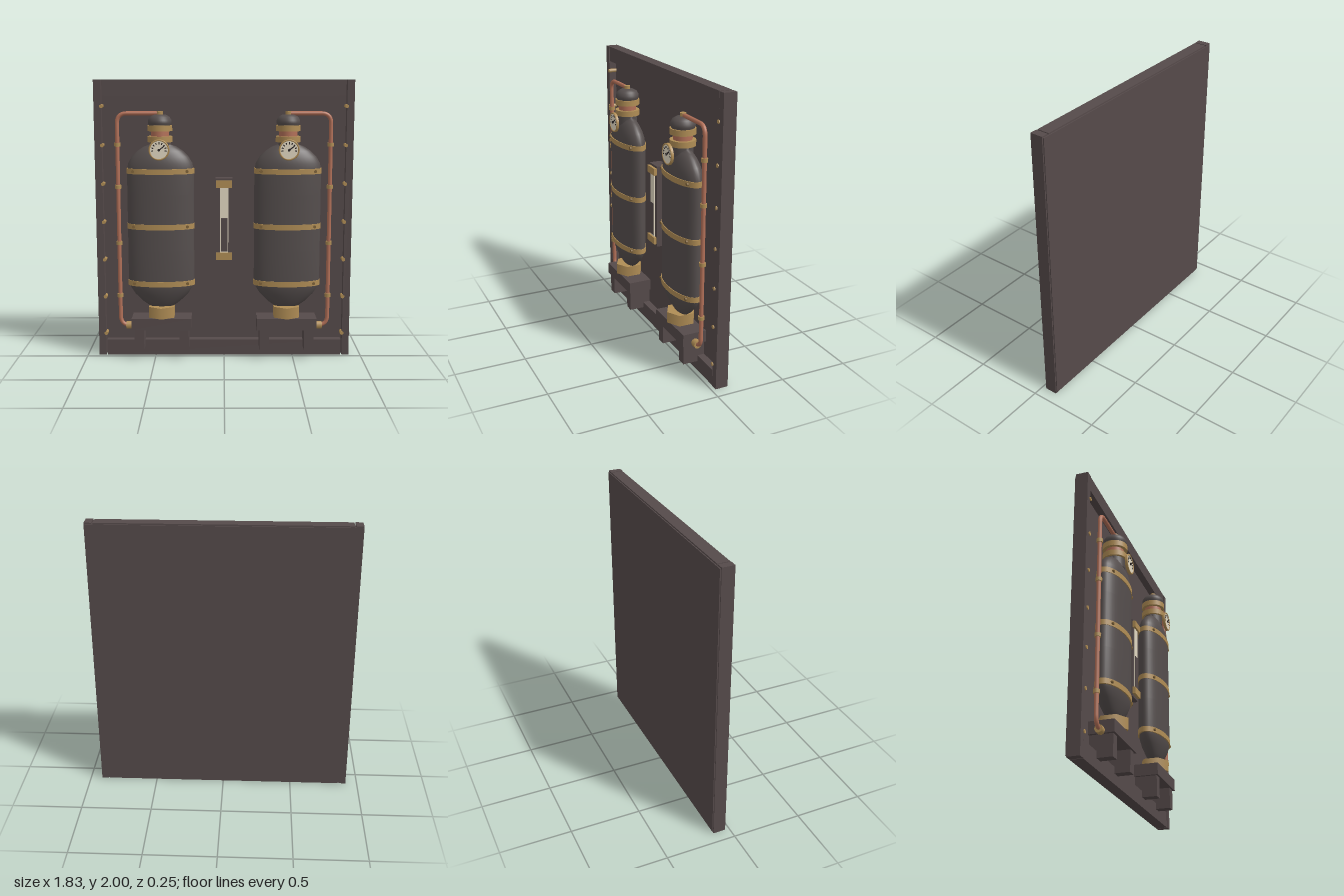
import * as THREE from 'three';

const mat = (name, color, opts = {}) => {
  const m = new THREE.MeshStandardMaterial({ color, ...opts });
  m.name = name;
  return m;
};

export function createModel() {
  const root = new THREE.Group();
  root.name = 'wallTankPanel';
  const iron = mat('dark iron', 0x554a4a);
  const steel = mat('tank steel', 0x554e4d);
  const brass = mat('brass', 0xb08d55);
  const oldBrass = mat('dark brass', 0x80643a);
  const copper = mat('copper', 0xb27058);
  const cream = mat('cream', 0xe2d8c2);
  const ink = mat('black', 0x2b2626);

  const add = (parent, name, geo, material, x = 0, y = 0, z = 0) => {
    const m = new THREE.Mesh(geo, material);
    m.name = name;
    m.position.set(x, y, z);
    parent.add(m);
    return m;
  };
  // box given by its limits on each axis
  const block = (parent, name, material, x0, x1, y0, y1, z0, z1) =>
    add(parent, name, new THREE.BoxGeometry(x1 - x0, y1 - y0, z1 - z0), material,
      (x0 + x1) / 2, (y0 + y1) / 2, (z0 + z1) / 2);
  // upright cylinder between two heights
  const drum = (parent, name, material, r, y0, y1, sides = 28) =>
    add(parent, name, new THREE.CylinderGeometry(r, r, y1 - y0, sides), material, 0, (y0 + y1) / 2, 0);
  // cylinder facing the front
  const disc = (parent, name, material, r, depth, x, y, z, sides = 24) => {
    const m = add(parent, name, new THREE.CylinderGeometry(r, r, depth, sides), material, x, y, z);
    m.rotation.x = Math.PI / 2;
    return m;
  };
  const lathe = (pts) => new THREE.LatheGeometry(pts.map(([x, y]) => new THREE.Vector2(x, y)), 40);

  // wall panel with its frame
  const wall = new THREE.Group();
  wall.name = 'wallPanel';
  root.add(wall);
  block(wall, 'backPanel', iron, -0.908, 0.908, 0.01, 1.99, -0.125, -0.085);
  block(wall, 'topRail', iron, -0.857, 0.857, 1.89, 2, -0.118, -0.033);
  block(wall, 'bottomRail', iron, -0.857, 0.857, 0, 0.115, -0.118, -0.033);
  for (const s of [-1, 1]) {
    add(wall, 'sidePost', new THREE.BoxGeometry(0.051, 2, 0.088), iron, s * 0.8905, 1, -0.074);
    for (let i = 0; i < 7; i++) {
      disc(wall, 'frameBolt', brass, 0.014, 0.062, s * 0.863, 0.165 + i * 0.275, -0.055, 6);
    }
  }

  // dial with ticks and needle
  const makeDial = (parent) => {
    const dial = new THREE.Group();
    dial.name = 'pressureDial';
    dial.position.set(0, 1.52, 0.105);
    parent.add(dial);
    disc(dial, 'dialCase', brass, 0.072, 0.014, 0, 0, 0, 32);
    add(dial, 'dialRim', new THREE.TorusGeometry(0.067, 0.006, 8, 36), brass, 0, 0, 0.007);
    disc(dial, 'dialFace', cream, 0.062, 0.004, 0, 0, 0.007, 32);
    for (let i = 0; i < 9; i++) {
      const a = Math.PI * (1.05 - i * 0.1375);
      const t = add(dial, 'dialTick', new THREE.BoxGeometry(0.014, 0.007, 0.003), ink,
        Math.cos(a) * 0.047, Math.sin(a) * 0.047, 0.0095);
      t.rotation.z = a;
    }
    const needle = add(dial, 'dialNeedle', new THREE.BoxGeometry(0.056, 0.008, 0.003), ink, 0.014, 0.01, 0.011);
    needle.rotation.z = 0.65;
    disc(dial, 'needleHub', ink, 0.009, 0.008, 0, 0, 0.012, 12);
  };

  const makeTank = (s) => {
    const tank = new THREE.Group();
    tank.name = s < 0 ? 'rightTank' : 'leftTank';
    tank.position.x = s * 0.45;
    root.add(tank);

    // stand
    block(tank, 'standTop', iron, -0.215, 0.215, 0.22, 0.305, -0.085, 0.088);
    for (const t of [-1, 1]) {
      add(tank, 'standLeg', new THREE.BoxGeometry(0.068, 0.15, 0.158), iron, t * 0.161, 0.145, -0.005);
    }
    drum(tank, 'baseCollar', brass, 0.105, 0.305, 0.385, 6).material = brass;

    // flattened vessel
    const body = add(tank, 'vessel', lathe([[0, 0.37], [0.08, 0.38], [0.135, 0.42], [0.19, 0.475], [0.222, 0.525],
      [0.236, 0.58], [0.236, 0.8], [0.236, 1.2], [0.236, 1.37], [0.226, 1.42], [0.2, 1.465], [0.16, 1.505],
      [0.115, 1.535], [0.075, 1.55], [0.07, 1.57]]), steel);
    body.scale.z = 0.4;
    for (const y of [0.56, 0.972, 1.365]) {
      const strap = drum(tank, 'strap', brass, 0.24, y - 0.019, y + 0.019, 40);
      strap.scale.z = 0.415;
      for (const t of [-1, 1]) disc(tank, 'strapRivet', oldBrass, 0.011, 0.02, t * 0.19, y, 0.058, 10);
    }

    // neck, cap and outlet
    drum(tank, 'neck', steel, 0.07, 1.5, 1.57);
    drum(tank, 'lowerNeckRing', brass, 0.087, 1.568, 1.608);
    drum(tank, 'neckSleeve', copper, 0.064, 1.6, 1.655);
    drum(tank, 'upperNeckRing', brass, 0.087, 1.645, 1.685);
    add(tank, 'cap', lathe([[0.074, 1.68], [0.083, 1.7], [0.082, 1.72], [0.07, 1.742], [0.045, 1.757], [0, 1.762]]), steel);
    drum(tank, 'outletNut', brass, 0.022, 1.75, 1.782, 8);
    makeDial(tank);

    // side pipe with rounded bends
    const px = s * 0.3, r = 0.07, top = 1.767, low = 0.236;
    const v = (x, y) => new THREE.Vector3(x, y, 0);
    const path = new THREE.CurvePath();
    path.add(new THREE.LineCurve3(v(0, top), v(px - s * r, top)));
    path.add(new THREE.QuadraticBezierCurve3(v(px - s * r, top), v(px, top), v(px, top - r)));
    path.add(new THREE.LineCurve3(v(px, top - r), v(px, low + r)));
    path.add(new THREE.QuadraticBezierCurve3(v(px, low + r), v(px, low), v(px - s * r, low)));
    path.add(new THREE.LineCurve3(v(px - s * r, low), v(s * 0.21, low)));
    add(tank, 'pipe', new THREE.TubeGeometry(path, 200, 0.0145, 12), copper);
    for (const y of [0.46, 0.845, 1.25, 1.548]) {
      add(tank, 'pipeClamp', new THREE.CylinderGeometry(0.022, 0.022, 0.026, 12), brass, px, y, 0);
    }
    const inlet = add(tank, 'inletNut', new THREE.CylinderGeometry(0.028, 0.028, 0.05, 8), brass, s * 0.235, low, 0);
    inlet.rotation.z = Math.PI / 2;
  };
  makeTank(-1);
  makeTank(1);

  // level glass between the tanks
  const level = new THREE.Group();
  level.name = 'levelGlass';
  root.add(level);
  block(level, 'levelBacking', iron, -0.06, 0.06, 0.705, 1.308, -0.085, 0);
  block(level, 'lowerClamp', brass, -0.057, 0.057, 0.725, 0.775, -0.01, 0.02);
  block(level, 'upperClamp', brass, -0.057, 0.057, 1.243, 1.293, -0.01, 0.02);
  block(level, 'glassStrip', cream, -0.03, 0.03, 0.775, 1.243, 0, 0.008);
  block(level, 'fluid', iron, -0.023, 0.023, 0.785, 1.025, 0.006, 0.011);

  return root;
}
